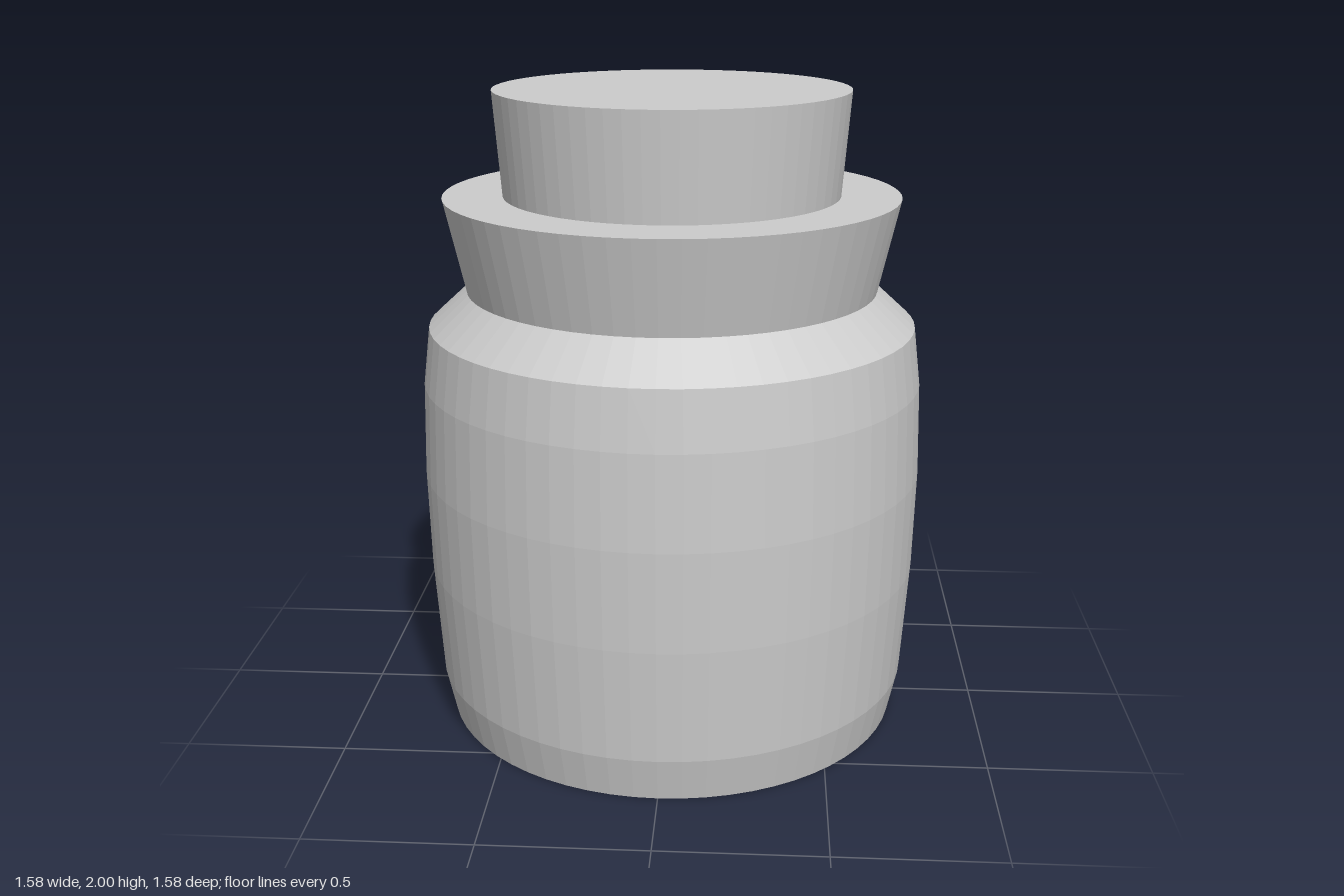
import * as THREE from 'three';

const SEGMENTS = 64;

export function createModel() {
  const jar = new THREE.Group();
  jar.name = 'stopperedJar';

  const grey = new THREE.MeshStandardMaterial({ color: 0xcccccc, flatShading: true });
  grey.name = 'plain grey';

  // Turns a profile, given as [radius, height] from bottom to top
  function turned(name, profile) {
    const points = profile.map(([r, y]) => new THREE.Vector2(r, y));
    const mesh = new THREE.Mesh(new THREE.LatheGeometry(points, SEGMENTS), grey);
    mesh.name = name;
    jar.add(mesh);
  }

  // Bulging body with a hollowed underside, sloped shoulder and flared collar
  turned('body', [
    [0, 0.09], [0.41, 0.09], [0.64, 0], [0.73, 0],
    [0.76, 0.14], [0.783, 0.5], [0.79, 0.81], [0.782, 1.1], [0.76, 1.28],
    [0.64, 1.39],
  ]);
  turned('collar', [[0.64, 1.39], [0.705, 1.68], [0, 1.68]]);

  // Tapered stopper
  turned('stopper', [[0.52, 1.68], [0.545, 2], [0, 2]]);

  return jar;
}
